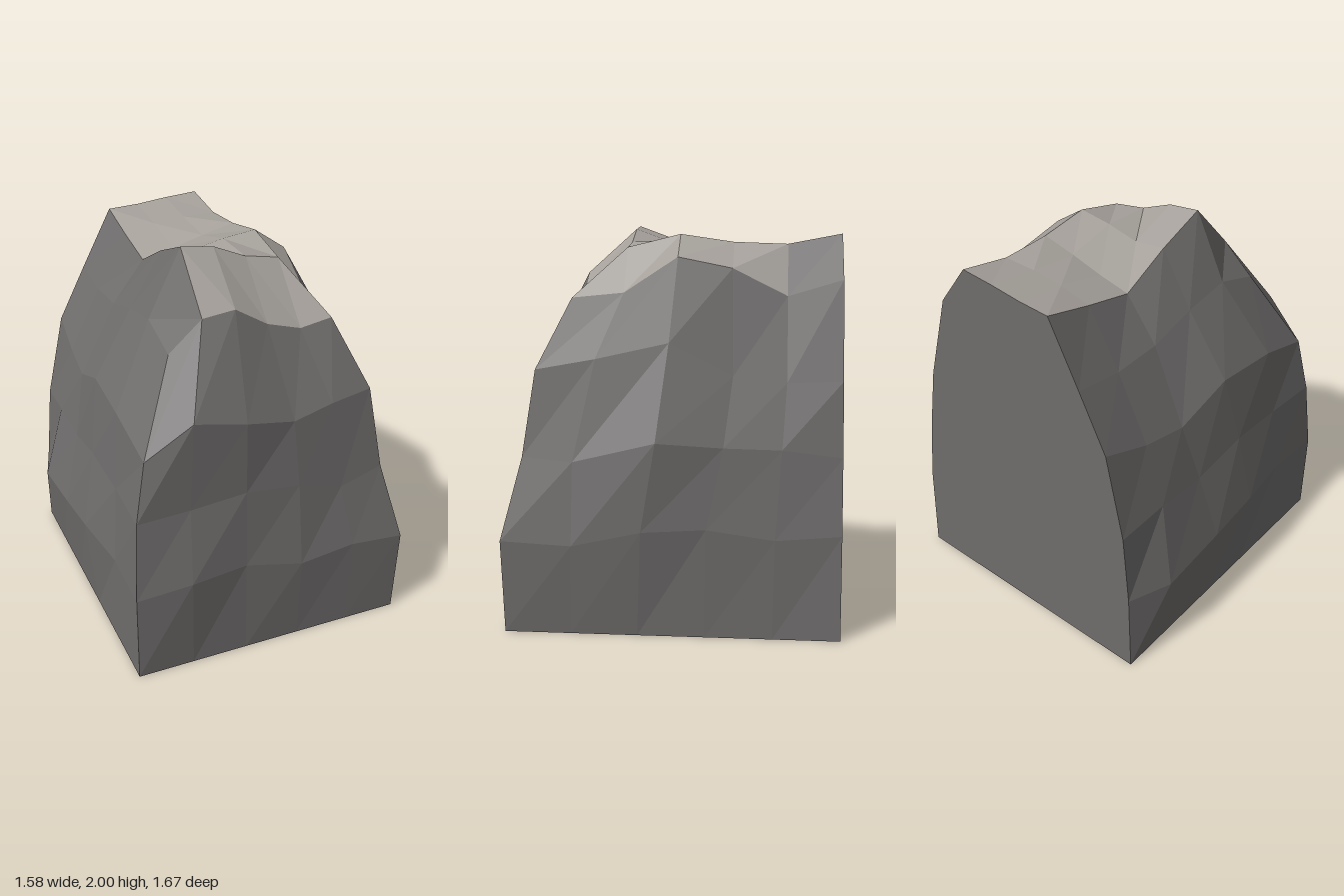
import * as THREE from 'three';

const BACK = -0.84;

// Crown heights: rows run back to front, columns run from -x to +x
const crownX = [-0.43, -0.26, -0.09, 0.08, 0.26, 0.43];
const crownZ = [BACK, -0.57, -0.3, -0.03, 0.24, 0.5];
const crownY = [
  [1.58, 1.90, 1.91, 1.93, 1.945, 1.72],
  [1.54, 1.83, 1.87, 1.89, 1.895, 1.64],
  [1.55, 1.77, 1.81, 1.86, 1.905, 1.775],
  [1.62, 1.90, 1.88, 1.92, 1.945, 1.83],
  [1.66, 2.00, 1.98, 1.91, 1.88, 1.655],
  [1.58, 1.73, 1.75, 1.65, 1.60, 1.63],
];

// Wall contours, each from the back of the +x side, round the front, to the back of the -x side
const shoulder = [
  [0.575, 1.24, BACK], [0.575, 1.23, -0.57], [0.585, 1.26, -0.31], [0.60, 1.42, 0], [0.60, 1.34, 0.36], [0.58, 1.285, 0.66],
  [0.35, 1.26, 0.69], [0.13, 1.22, 0.72], [-0.14, 1.28, 0.76], [-0.41, 1.335, 0.76],
  [-0.64, 1.16, 0.71], [-0.655, 1.26, 0.37], [-0.64, 1.28, 0], [-0.62, 1.165, -0.32], [-0.60, 1.2, -0.57], [-0.58, 1.29, BACK],
];
const waist = [
  [0.645, 0.88, BACK], [0.68, 0.92, -0.55], [0.705, 0.93, -0.27], [0.775, 0.96, 0.05], [0.70, 0.85, 0.46], [0.64, 0.86, 0.72],
  [0.40, 0.80, 0.74], [0.15, 0.88, 0.76], [-0.14, 0.91, 0.765], [-0.43, 0.88, 0.76],
  [-0.70, 0.86, 0.75], [-0.69, 0.87, 0.42], [-0.70, 0.90, 0.08], [-0.69, 0.84, -0.25], [-0.69, 0.86, -0.55], [-0.68, 0.84, BACK],
];
const foot = [
  [0.70, 0.51, BACK], [0.73, 0.49, -0.52], [0.745, 0.54, -0.19], [0.785, 0.53, 0.12], [0.765, 0.45, 0.46], [0.74, 0.46, 0.815],
  [0.45, 0.48, 0.81], [0.15, 0.45, 0.82], [-0.15, 0.51, 0.80], [-0.45, 0.50, 0.83],
  [-0.73, 0.46, 0.80], [-0.725, 0.48, 0.46], [-0.775, 0.50, 0.12], [-0.785, 0.47, -0.2], [-0.79, 0.43, -0.6], [-0.715, 0.45, BACK],
];

// Walks the crown border in the same order as the wall contours
const crownPoint = (i, j) => [crownX[i], crownY[j][i], crownZ[j]];
const around = (point) => {
  const ring = [];
  for (let j = 0; j < 6; j++) ring.push(point(5, j));
  for (let i = 4; i > 0; i--) ring.push(point(i, 5));
  for (let j = 5; j >= 0; j--) ring.push(point(0, j));
  return ring;
};

function addQuad(list, a, b, c, d) {
  list.push(...a, ...b, ...c, ...a, ...c, ...d);
}

function makeMesh(name, positions, material) {
  const geometry = new THREE.BufferGeometry();
  geometry.setAttribute('position', new THREE.Float32BufferAttribute(positions, 3));
  geometry.computeVertexNormals();
  const mesh = new THREE.Mesh(geometry, material);
  mesh.name = name;
  return mesh;
}

export function createModel() {
  const rock = (name, color) => {
    const m = new THREE.MeshStandardMaterial({ color, flatShading: true, side: THREE.DoubleSide });
    m.name = name;
    return m;
  };
  const darkStone = rock('dark stone', 0x6f6d6c);
  const paleStone = rock('pale stone', 0xa5a09a);

  // Crown: pale cells, with dark ones along the -x side and at one back corner
  const paleCrown = [], darkCrown = [];
  for (let j = 0; j < 5; j++) {
    for (let i = 0; i < 5; i++) {
      const dark = i === 0 || (i === 4 && j === 0);
      addQuad(dark ? darkCrown : paleCrown,
        crownPoint(i, j), crownPoint(i, j + 1), crownPoint(i + 1, j + 1), crownPoint(i + 1, j));
    }
  }

  // Walls: strips between successive contours down to the ground
  const ground = around((i, j) => [-0.73 + 0.292 * i, 0, BACK + 0.328 * j]);
  const rings = [around(crownPoint), shoulder, waist, foot, ground];
  const walls = [];
  for (let r = 0; r < rings.length - 1; r++) {
    const upper = rings[r], lower = rings[r + 1];
    for (let k = 0; k < upper.length - 1; k++) {
      addQuad(walls, lower[k + 1], lower[k], upper[k], upper[k + 1]);
    }
  }

  // Flat back: bands between the contour ends, closed by the crown's back edge
  const back = [];
  for (let r = 0; r < rings.length - 1; r++) {
    addQuad(back, rings[r + 1][0], rings[r + 1][15], rings[r][15], rings[r][0]);
  }
  for (let i = 1; i < 5; i++) {
    back.push(...crownPoint(0, 0), ...crownPoint(i, 0), ...crownPoint(i + 1, 0));
  }

  const group = new THREE.Group();
  group.name = 'cliffBlock';
  group.add(
    makeMesh('paleCrown', paleCrown, paleStone),
    makeMesh('darkCrown', darkCrown, darkStone),
    makeMesh('rockWalls', walls, darkStone),
    makeMesh('flatBack', back, darkStone),
  );
  return group;
}
